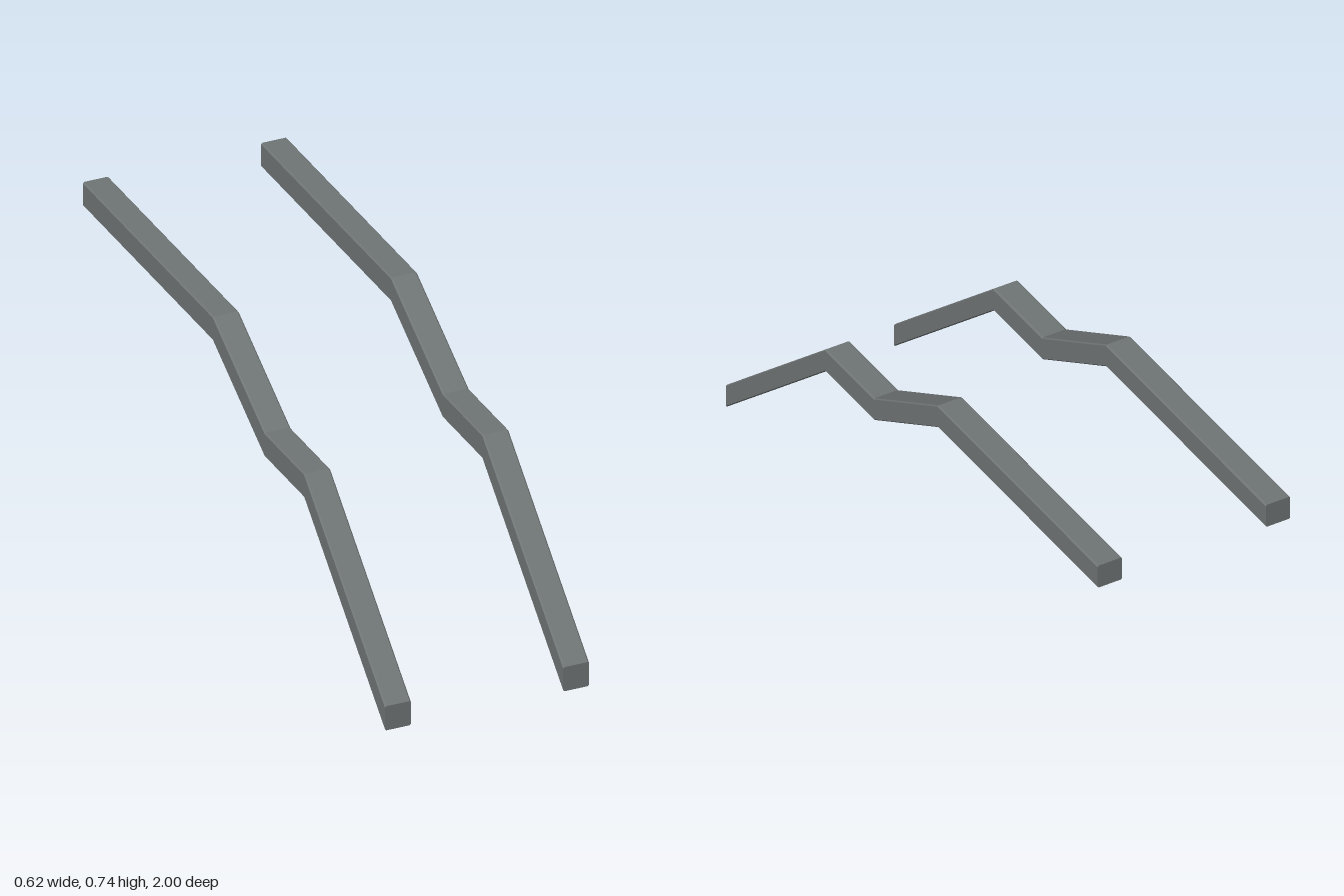
import * as THREE from 'three';

const HEIGHT = 0.076, HALF_WIDTH = 0.0395, BEVEL = 0.004;

// Bend points along the rail, front to back: [z, y of the underside]
const PATH = [[1, 0.003], [0.465, 0.472], [0.203, 0.472], [-0.14, 0.669], [-1, 0.669]];

// Bevelled square section, anticlockwise seen from the front
function section() {
  const w = HALF_WIDTH, h = HEIGHT, b = BEVEL;
  return [[-w + b, 0], [w - b, 0], [w, b], [w, h - b], [w - b, h], [-w + b, h], [-w, h - b], [-w, b]];
}

// Sweep the upright section through the bend points and cap both ends
function railGeometry() {
  const ring = section(), n = ring.length, positions = [], index = [];
  for (const [z, y] of PATH) for (const [sx, sy] of ring) positions.push(sx, y + sy, z);
  for (let i = 0; i < PATH.length - 1; i++) {
    for (let j = 0; j < n; j++) {
      const a = i * n + j, b = i * n + (j + 1) % n;
      index.push(a, a + n, b, b, a + n, b + n);
    }
  }
  const last = (PATH.length - 1) * n;
  for (let j = 1; j < n - 1; j++) {
    index.push(0, j, j + 1);
    index.push(last, last + j + 1, last + j);
  }
  const indexed = new THREE.BufferGeometry();
  indexed.setAttribute('position', new THREE.Float32BufferAttribute(positions, 3));
  indexed.setIndex(index);
  const geometry = indexed.toNonIndexed();
  geometry.computeVertexNormals(); // unshared corners keep every face flat
  return geometry;
}

export function createModel() {
  const model = new THREE.Group();
  model.name = 'pairOfBentRails';
  const steel = new THREE.MeshStandardMaterial({ color: 0x707575 });
  steel.name = 'grey steel';
  const geometry = railGeometry();
  for (const [name, side] of [['leftRail', 1], ['rightRail', -1]]) {
    const rail = new THREE.Mesh(geometry, steel);
    rail.name = name;
    rail.position.x = side * 0.2715;
    model.add(rail);
  }
  return model;
}
